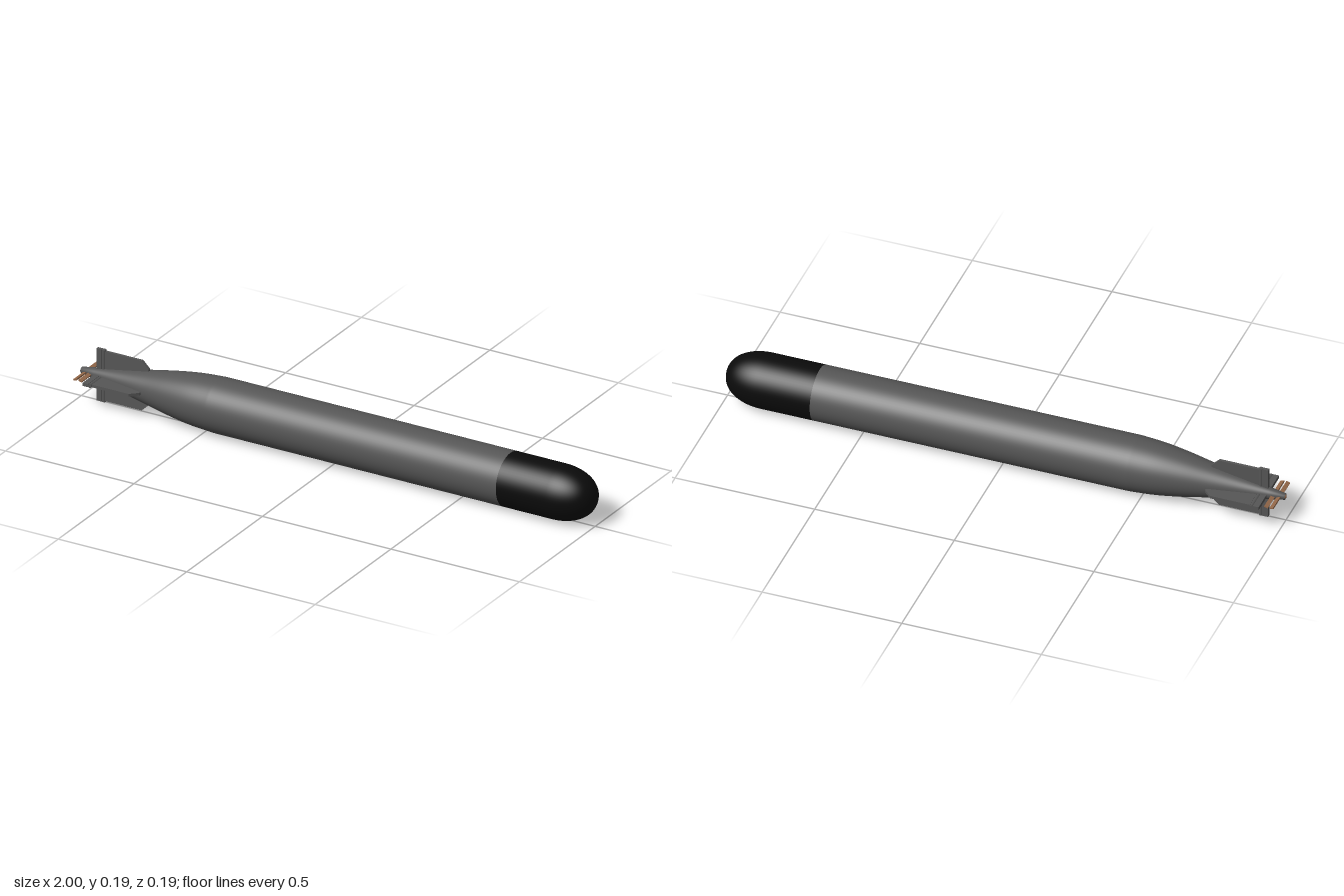
import * as THREE from 'three';

const CENTRE_Y = 0.0975;
const R = 0.0965;

export function createModel() {
  const mat = (name, color) => {
    const m = new THREE.MeshStandardMaterial({ color });
    m.name = name;
    return m;
  };
  const grey = mat('hull grey', 0x565656);
  const black = mat('nose black', 0x0b0b0b);
  const bronze = mat('propeller bronze', 0x94694a);

  const torpedo = new THREE.Group();
  torpedo.name = 'torpedo';
  torpedo.position.y = CENTRE_Y;

  const add = (parent, name, geometry, material) => {
    const mesh = new THREE.Mesh(geometry, material);
    mesh.name = name;
    parent.add(mesh);
    return mesh;
  };

  // Revolve [x, radius] points around the long axis
  const revolve = (points) => {
    const g = new THREE.LatheGeometry(points.map(([x, r]) => new THREE.Vector2(r, x)), 64);
    return g.rotateZ(-Math.PI / 2);
  };

  // Hull: tapered tail running into a straight cylinder
  const taper = new THREE.SplineCurve([
    [-0.94, 0.021], [-0.84, 0.039], [-0.74, 0.058], [-0.64, 0.077],
    [-0.55, 0.09], [-0.46, R],
  ].map(([x, r]) => new THREE.Vector2(x, r))).getPoints(30).map((p) => [p.x, p.y]);
  add(torpedo, 'hull', revolve([...taper, [0.67, R]]), grey);
  add(torpedo, 'tailCone', revolve([[-0.998, 0], [-0.998, 0.011], [-0.94, 0.021]]), grey);

  // Nose: short cylinder closed by a blunt rounded cap
  const nose = [[0.67, R], [0.86, R]];
  for (let i = 1; i <= 20; i++) {
    const a = (i / 20) * Math.PI / 2;
    nose.push([0.86 + 0.14 * Math.sin(a), R * Math.pow(Math.cos(a), 0.85)]);
  }
  nose[nose.length - 1][1] = 0;
  add(torpedo, 'nose', revolve(nose), black);

  // Four tail fins, each with a hinge post and a control surface
  const plate = (points, depth) => {
    const shape = new THREE.Shape(points.map(([x, y]) => new THREE.Vector2(x, y)));
    const g = new THREE.ExtrudeGeometry(shape, { depth, bevelEnabled: false });
    return g.translate(0, 0, -depth / 2);
  };
  const finShape = [[-0.905, 0.02], [-0.735, 0.045], [-0.735, 0.066], [-0.762, 0.092], [-0.905, 0.092]];
  const rudderShape = [[-0.938, 0.015], [-0.917, 0.015], [-0.917, 0.0965], [-0.938, 0.0965]];
  for (let i = 0; i < 4; i++) {
    const tail = new THREE.Group();
    tail.name = 'tailFin' + (i + 1);
    tail.rotation.x = i * Math.PI / 2;
    add(tail, 'fin', plate(finShape, 0.01), grey);
    add(tail, 'rudder', plate(rudderShape, 0.012), grey);
    const post = add(tail, 'hingePost', new THREE.CylinderGeometry(0.0075, 0.0075, 0.08, 16), grey);
    post.position.set(-0.911, 0.0565, 0);
    torpedo.add(tail);
  }

  // Two propellers with a pair of slightly pitched blades each
  [-0.978, -0.958].forEach((x, i) => {
    const propeller = new THREE.Group();
    propeller.name = i ? 'frontPropeller' : 'rearPropeller';
    propeller.position.x = x;
    for (const side of [1, -1]) {
      const blade = add(propeller, 'blade', new THREE.BoxGeometry(0.014, 0.005, 0.07), bronze);
      blade.position.z = side * 0.044;
      blade.rotation.z = side * (i ? -0.3 : 0.3);
    }
    torpedo.add(propeller);
  });
  // Bronze shaft end behind the cone
  add(torpedo, 'shaftEnd', revolve([[-1, 0], [-1, 0.007], [-0.99, 0.007]]), bronze);

  const model = new THREE.Group();
  model.name = 'model';
  model.add(torpedo);
  return model;
}
